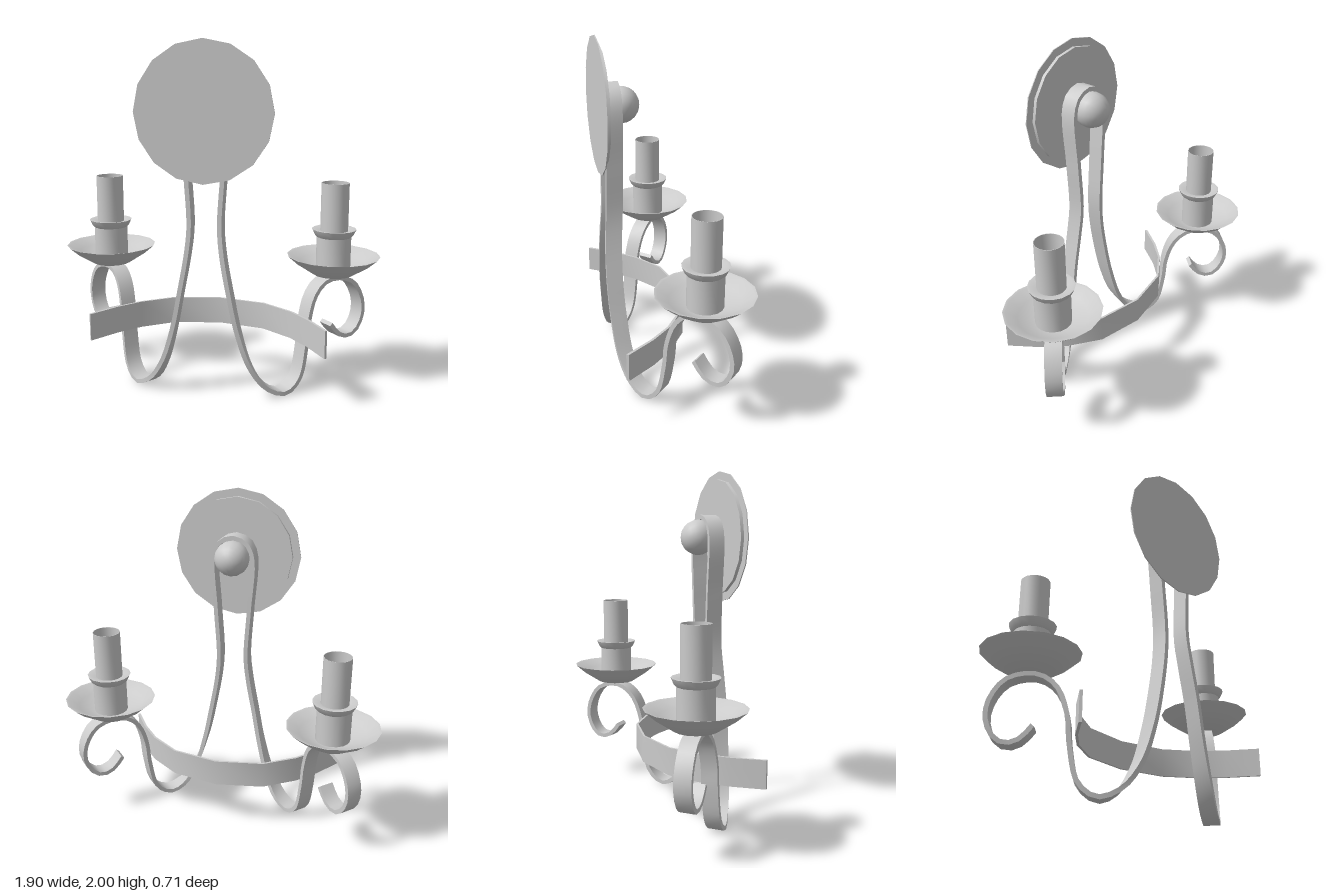
import * as THREE from 'three';
import { toCreasedNormals } from 'three/addons/utils/BufferGeometryUtils.js';

const material = new THREE.MeshStandardMaterial({ color: 0xcccccc, side: THREE.DoubleSide });

function part(name, geometry, crease = 0.7) {
  const mesh = new THREE.Mesh(toCreasedNormals(geometry, crease), material);
  mesh.name = name;
  return mesh;
}

const lathe = (name, profile, sides = 16) =>
  part(name, new THREE.LatheGeometry(profile.map(([r, y]) => new THREE.Vector2(r, y)), sides));

// Flat bar swept along a path; its wide side stays level and turns with x.
function sweepBar(curve, steps, width, thickness) {
  const positions = [], index = [];
  const corners = [[1, -1], [1, 1], [-1, 1], [-1, -1]];
  for (let i = 0; i <= steps; i++) {
    const p = curve.getPointAt(i / steps);
    const t = curve.getTangentAt(i / steps);
    const yaw = Math.sign(p.x) * THREE.MathUtils.smoothstep(Math.abs(p.x), 0.14, 0.45) * 0.76;
    const across = new THREE.Vector3(Math.sin(yaw), 0, Math.cos(yaw));
    const normal = new THREE.Vector3().crossVectors(t, across).normalize();
    for (const [a, n] of corners) {
      const v = p.clone().addScaledVector(across, a * width / 2).addScaledVector(normal, n * thickness / 2);
      positions.push(v.x, v.y, v.z);
    }
    if (i === steps) continue;
    for (let j = 0; j < 4; j++) {
      const a = i * 4 + j, b = i * 4 + (j + 1) % 4;
      index.push(a, b, b + 4, a, b + 4, a + 4);
    }
  }
  const e = steps * 4;
  index.push(0, 2, 1, 0, 3, 2, e, e + 1, e + 2, e, e + 2, e + 3);
  const g = new THREE.BufferGeometry();
  g.setAttribute('position', new THREE.Float32BufferAttribute(positions, 3));
  g.setIndex(index);
  return g;
}

export function createModel() {
  const model = new THREE.Group();
  model.name = 'wallLight';

  // Round wall plate with a smaller raised disc and a ball knob
  const plateY = 1.62;
  for (const [name, r, depth, z] of [['wallPlate', 0.381, 0.006, 0.348], ['raisedDisc', 0.335, 0.02, 0.336]]) {
    const disc = part(name, new THREE.CylinderGeometry(r, r, depth, 16).rotateX(Math.PI / 2));
    disc.position.set(0, plateY, z);
    model.add(disc);
  }
  const knob = part('knob', new THREE.SphereGeometry(0.103, 16, 12).rotateX(Math.PI / 2));
  knob.position.set(0, plateY, 0.215);
  model.add(knob);

  // Scrolled arms: one bar arching over the knob, mirrored left and right
  const half = [
    [0.083, 1.703, 0.275], [0.118, 1.62, 0.275], [0.102, 1.3, 0.275], [0.085, 1.0, 0.28],
    [0.1, 0.84, 0.29], [0.14, 0.62, 0.295], [0.185, 0.4, 0.285], [0.25, 0.19, 0.262],
    [0.33, 0.06, 0.22], [0.42, 0.015, 0.165], [0.49, 0.08, 0.105], [0.525, 0.28, 0.07],
    [0.535, 0.42, 0.06], [0.565, 0.56, 0.022], [0.615, 0.63, -0.03], [0.68, 0.648, -0.085],
    [0.77, 0.61, -0.16], [0.825, 0.5, -0.207], [0.832, 0.4, -0.213], [0.8, 0.31, -0.185],
    [0.755, 0.278, -0.15], [0.7, 0.3, -0.1], [0.655, 0.37, -0.06],
  ];
  const points = [
    ...half.map(([x, y, z]) => new THREE.Vector3(-x, y, z)).reverse(),
    new THREE.Vector3(0, 1.738, 0.275),
    ...half.map(([x, y, z]) => new THREE.Vector3(x, y, z)),
  ];
  model.add(part('scrolledArms', sweepBar(new THREE.CatmullRomCurve3(points), 140, 0.094, 0.025)));

  // Curved cross band joining the arms
  const side = [[0.28, -0.078], [0.46, 0.045], [0.57, 0.165], [0.68, 0.322]];
  const line = [...side.map(([x, z]) => [-x, z]).reverse(), [0, -0.13], ...side];
  const outline = [
    ...line.map(([x, z]) => new THREE.Vector2(x, -z)),
    ...line.map(([x, z]) => new THREE.Vector2(x * 0.985, -z - 0.012)).reverse(),
  ];
  const band = new THREE.ExtrudeGeometry(new THREE.Shape(outline), { depth: 0.16, bevelEnabled: false });
  band.rotateX(-Math.PI / 2).translate(0, 0.3, 0);
  model.add(part('crossBand', band));

  // Drip pan, cup and hollow candle tube on each arm
  for (const [name, sign] of [['leftLamp', 1], ['rightLamp', -1]]) {
    const lamp = new THREE.Group();
    lamp.name = name;
    lamp.position.set(sign * 0.682, 0, -0.085);
    lamp.add(
      lathe('dripPan', [[0, 0.66], [0.115, 0.665], [0.215, 0.73], [0.27, 0.778], [0.255, 0.775],
        [0.195, 0.738], [0.1, 0.7], [0, 0.695]]),
      lathe('cup', [[0.1, 0.695], [0.1, 0.89], [0.112, 0.9], [0.128, 0.935], [0.115, 0.935], [0.078, 0.925]]),
      lathe('candleTube', [[0.08, 0.9], [0.08, 1.205], [0.077, 1.205], [0.077, 0.93], [0, 0.93]], 20),
    );
    model.add(lamp);
  }
  return model;
}
